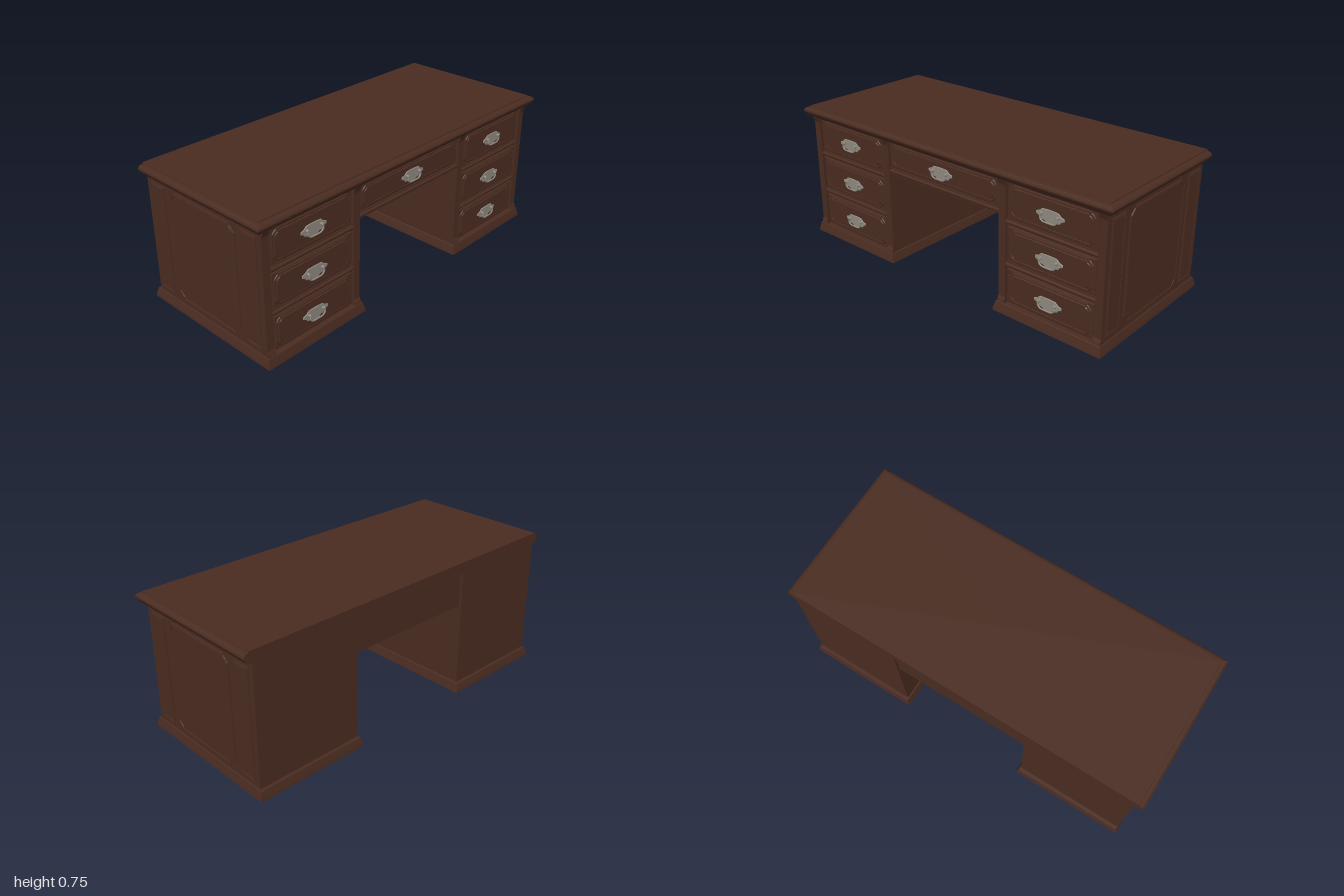
import * as THREE from 'three';

const wood = new THREE.MeshStandardMaterial({ color: 0x4a2c21 });
wood.name = 'dark wood';
const metal = new THREE.MeshStandardMaterial({ color: 0x8f8a80 });
metal.name = 'aged metal';

// Joins equal-length closed loops into a faceted skin, with optional end caps
function stitch(loops, capStart, capEnd) {
  const pos = [];
  const tri = (a, b, c) => pos.push(...a, ...b, ...c);
  const n = loops[0].length;
  const mid = (l) => [0, 1, 2].map((k) => l.reduce((s, p) => s + p[k], 0) / n);
  for (let j = 0; j + 1 < loops.length; j++) {
    for (let i = 0; i < n; i++) {
      const a = loops[j][i], b = loops[j][(i + 1) % n];
      const c = loops[j + 1][(i + 1) % n], d = loops[j + 1][i];
      tri(a, b, c);
      tri(a, c, d);
    }
  }
  const first = loops[0], last = loops[loops.length - 1];
  for (let i = 0; i < n; i++) {
    const k = (i + 1) % n;
    if (capStart) tri(first[k], first[i], mid(first));
    if (capEnd) tri(last[i], last[k], mid(last));
  }
  const g = new THREE.BufferGeometry();
  g.setAttribute('position', new THREE.Float32BufferAttribute(pos, 3));
  g.computeVertexNormals();
  return g;
}

// Stack of horizontal rectangles: [y, x0, x1, z0, z1]
const stack = (layers) => stitch(layers.map(([y, x0, x1, z0, z1]) =>
  [[x1, y, z1], [x1, y, z0], [x0, y, z0], [x0, y, z1]]), true, true);

// Rectangle outline with stepped, clipped corners of size r, moved inwards by d
function outline(w, h, r, d, z) {
  const pts = [];
  const hw = w / 2 - d, hh = h / 2 - d;
  const R = r - 0.4 * d, s = r * 0.25;
  [[1, 1], [-1, 1], [-1, -1], [1, -1]].forEach(([sx, sy], k) => {
    const corner = r ? [[0, R], [s, R], [R * 0.55, R * 0.6], [R, s], [R, 0]] : [[0, 0]];
    if (k % 2) corner.reverse();
    for (const [u, v] of corner) pts.push([sx * (hw - u), sy * (hh - v), z]);
  });
  return pts;
}

// Moulded panel facing +z; steps are [inset, height]
const panel = (w, h, r, steps) =>
  stitch(steps.map(([d, z]) => outline(w, h, r, d, z)), false, true);

function add(parent, name, geometry, material = wood, x = 0, y = 0, z = 0) {
  const m = new THREE.Mesh(geometry, material);
  m.name = name;
  m.position.set(x, y, z);
  parent.add(m);
  return m;
}

function box(parent, name, x0, x1, y0, y1, z0, z1) {
  return add(parent, name, new THREE.BoxGeometry(x1 - x0, y1 - y0, z1 - z0), wood,
    (x0 + x1) / 2, (y0 + y1) / 2, (z0 + z1) / 2);
}

// Backplate with a hanging bail, facing +z
function makeHandle() {
  const g = new THREE.Group();
  g.name = 'drawerHandle';
  const right = [[0.018, -0.036], [0.03, -0.026], [0.052, -0.024], [0.062, -0.012],
    [0.078, -0.004], [0.078, 0.008], [0.06, 0.014], [0.044, 0.028], [0.014, 0.03]];
  const pts = [...right, ...right.slice().reverse().map(([x, y]) => [-x, y])];
  const shape = new THREE.Shape(pts.map(([x, y]) => new THREE.Vector2(x, y)));
  add(g, 'backplate', new THREE.ExtrudeGeometry(shape,
    { depth: 0.002, bevelSize: 0.002, bevelThickness: 0.002, bevelOffset: -0.002, bevelSegments: 1 }), metal);
  for (const s of [-1, 1]) {
    const post = add(g, 'handlePost', new THREE.CylinderGeometry(0.006, 0.008, 0.016, 12), metal, s * 0.044, 0.006, 0.01);
    post.rotation.x = Math.PI / 2;
  }
  const path = new THREE.CatmullRomCurve3([[-0.044, 0.006], [-0.046, -0.012], [-0.034, -0.025],
    [0, -0.028], [0.034, -0.025], [0.046, -0.012], [0.044, 0.006]].map(([x, y]) => new THREE.Vector3(x, y, 0.015)));
  add(g, 'bail', new THREE.TubeGeometry(path, 32, 0.004, 8), metal);
  return g;
}

// Drawer front with a raised, clipped field, facing +x
function addDrawer(parent, y, z, w, h) {
  const d = new THREE.Group();
  d.name = 'drawer';
  add(d, 'drawerFront', panel(w, h, 0, [[0, 0], [0.001, 0.007], [0.004, 0.009]]));
  add(d, 'drawerField', panel(w - 0.014, h - 0.014, 0.026,
    [[0, 0.008], [0.003, 0.013], [0.012, 0.014], [0.014, 0.012], [0.017, 0.016]]));
  const handle = makeHandle();
  handle.position.set(0, -0.004, 0.016);
  d.add(handle);
  d.position.set(0.376, y, z);
  d.rotation.y = Math.PI / 2;
  parent.add(d);
}

// Rounded horizontal rail between drawers
function addRail(parent, y, z, w) {
  box(parent, 'rail', 0.37, 0.383, y - 0.016, y + 0.016, z - w / 2, z + w / 2);
  const bead = add(parent, 'railBead', new THREE.CylinderGeometry(0.01, 0.01, w, 14), wood, 0.382, y, z);
  bead.rotation.x = Math.PI / 2;
}

function makePedestal(s) {
  const g = new THREE.Group();
  g.name = s > 0 ? 'leftPedestal' : 'rightPedestal';
  const span = (a, b) => (s > 0 ? [a, b] : [-b, -a]);
  box(g, 'carcass', -0.405, 0.376, 0.046, 0.69, ...span(0.37, 0.957));

  // Plinth, hollow underneath
  add(g, 'plinth', stack([
    [0.044, -0.415, 0.4, ...span(0.366, 0.958)],
    [0, -0.426, 0.412, ...span(0.354, 0.969)],
    [0, -0.43, 0.416, ...span(0.35, 0.973)],
    [0.015, -0.428, 0.413, ...span(0.353, 0.971)],
    [0.048, -0.42, 0.405, ...span(0.361, 0.963)],
    [0.05, -0.418, 0.403, ...span(0.363, 0.961)]]));

  // Front posts flaring at head and foot
  for (const [a, b] of [[0.369, 0.41], [0.917, 0.958]]) {
    const profile = [[0.05, 0.403], [0.065, 0.399], [0.08, 0.392], [0.65, 0.392],
      [0.662, 0.394], [0.674, 0.4], [0.69, 0.405]];
    add(g, 'frontPost', stack(profile.map(([y, x]) => [y, 0.36, x, ...span(a, b)])));
  }

  // Drawers and rails
  for (const y of [0.147, 0.367, 0.588]) addDrawer(g, y, s * 0.6635, 0.49, 0.18);
  for (const y of [0.257, 0.478]) addRail(g, y, s * 0.6635, 0.507);

  // End panels
  const steps = [[0, 0], [0.001, 0.006], [0.006, 0.006], [0.008, 0.003], [0.01, 0.005]];
  for (const [x, w, r] of [[-0.325, 0.1, 0], [-0.0075, 0.46, 0.036], [0.31, 0.1, 0]]) {
    const m = add(g, 'endPanel', panel(w, 0.572, r, steps), wood, x, 0.366, s * 0.957);
    if (s < 0) m.rotation.y = Math.PI;
  }
  return g;
}

export function createModel() {
  const desk = new THREE.Group();
  desk.name = 'pedestalDesk';

  // Moulded top, flush along the back
  const edge = [[0.685, 0.404], [0.69, 0.41], [0.704, 0.42], [0.712, 0.426], [0.72, 0.428],
    [0.728, 0.424], [0.735, 0.416], [0.738, 0.402], [0.745, 0.4]];
  add(desk, 'top', stack(edge.map(([y, x]) => [y, -0.405, x, -x - 0.572, x + 0.572])));

  // Pedestals
  desk.add(makePedestal(1), makePedestal(-1));

  // Centre section over the knee space, set in slightly at the back
  const centre = new THREE.Group();
  centre.name = 'centreSection';
  box(centre, 'centreCarcass', -0.39, 0.376, 0.5, 0.69, -0.37, 0.37);
  addDrawer(centre, 0.61, 0, 0.725, 0.138);
  addRail(centre, 0.519, 0, 0.738);
  desk.add(centre);
  return desk;
}
